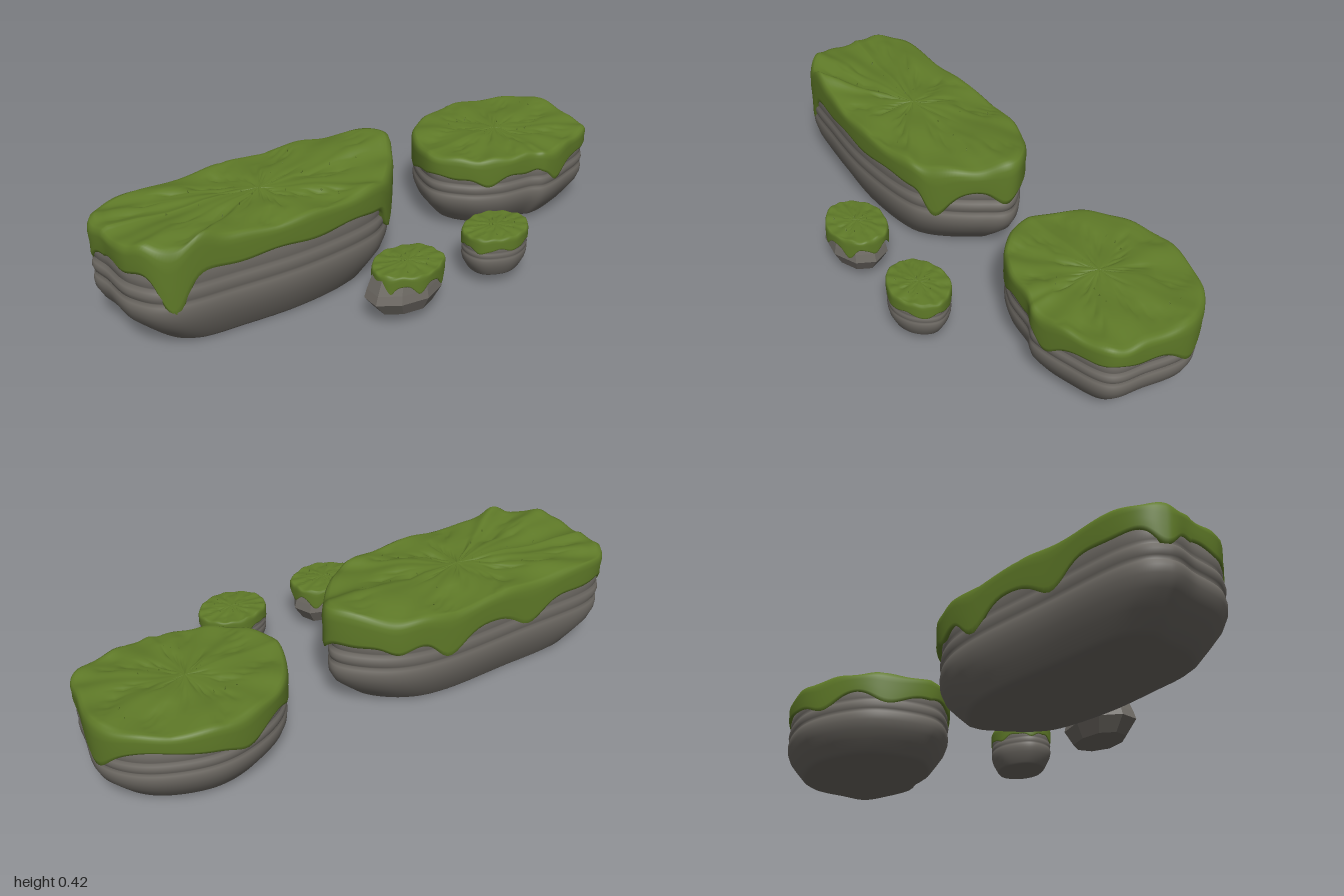
import * as THREE from 'three';

const stone = new THREE.MeshStandardMaterial({ color: 0x6e6a64 });
stone.name = 'grey stone';
const moss = new THREE.MeshStandardMaterial({ color: 0x5f7a28 });
moss.name = 'moss green';

// Joins closed rings of points (listed bottom to top) into one skin
function loft(rings, faceted = false) {
  const n = rings[0].length, index = [];
  for (let j = 0; j < rings.length - 1; j++) {
    for (let i = 0; i < n; i++) {
      const a = j * n + i, b = j * n + (i + 1) % n;
      index.push(a, b, b + n, a, b + n, a + n);
    }
  }
  let geo = new THREE.BufferGeometry().setFromPoints(rings.flat());
  geo.setIndex(index);
  if (faceted) geo = geo.toNonIndexed();
  geo.computeVertexNormals();
  return geo;
}

// Slightly wobbly oval outline, running from the left along the front
const oval = (cx, cz, rx, rz, n, wobble, turn = 0) => Array.from({ length: n }, (_, i) => {
  const a = turn + (i / n) * Math.PI * 2, k = 1 + wobble * Math.sin(i * 2.4);
  return [cx - rx * k * Math.cos(a), cz + rz * k * Math.sin(a)];
});

// Equal drips at every second point of an outline
const evenDrips = (n, depth) => Array.from({ length: n / 2 }, (_, i) => [2 * i + 1, depth * (1 - 0.3 * (i % 2)), 0.5]);

// Sum of soft bumps [place on outline, size, width] around a closed outline of n points
const bumpsAt = (u, bumps, n) => bumps.reduce((sum, [place, size, width]) => {
  const d = Math.abs(u - place), gap = Math.min(d, n - d) / width;
  return sum + size * Math.exp(-gap * gap);
}, 0);

// Points round the rock with the heights of the moss hem and rim there
function traceEdge(r) {
  const n = r.outline.length;
  const curve = new THREE.CatmullRomCurve3(r.outline.map(([x, z]) => new THREE.Vector3(x, 0, z)), true, 'catmullrom', 0.5);
  return Array.from({ length: r.segments }, (_, i) => {
    const t = i / r.segments, { x, z } = curve.getPoint(t);
    const ripple = 0.006 * Math.sin(t * 80) * (r.rim - r.base) / 0.4;
    return { x, z, hem: r.hem - bumpsAt(t * n, r.drips, n) + ripple, rim: r.rim + bumpsAt(t * n, r.humps, n) - ripple };
  });
}

// Stone profiles: [scale of outline, fraction of height]
const layered = [
  [0, 0], [0.5, 0], [0.74, 0.01], [0.79, 0.05], [0.87, 0.17], [0.945, 0.29], [0.98, 0.4], [0.985, 0.47],
  [0.978, 0.52], [0.96, 0.545], [0.975, 0.57], [0.985, 0.62], [0.978, 0.67], [0.955, 0.695],
  [0.968, 0.72], [0.972, 0.79], [0.955, 0.9], [0.9, 0.97], [0, 1],
];
const chunky = [[0, 0], [0.72, 0], [0.98, 0.38], [0.92, 0.6], [0.8, 0.95], [0, 1]];

function makeStone(r, edge) {
  const [cx, cz] = r.center, top = r.rim - 0.08 * (r.rim - r.base);
  const rings = (r.facets ? chunky : layered).map(([s, f]) => (r.facets || edge).map((p) => {
    const [x, z] = r.facets ? p : [p.x, p.z];
    return new THREE.Vector3(cx + r.shift + (x - cx) * s, r.base + f * (top - r.base), cz + (z - cz) * s);
  }));
  return new THREE.Mesh(loft(rings, Boolean(r.facets)), stone);
}

// Moss blanket: drooping hem, soft rim, and a top creased along lines from the middle
function makeMoss(r, edge) {
  const [cx, cz] = r.center;
  const side = [[0.93, 0.1], [0.975, 0.01], [0.993, 0], [1.002, 0.12], [1, 0.4], [1.005, 0.65], [1, 0.82], [0.985, 0.94]];
  const crown = [0.955, 0.91, 0.85, 0.77, 0.68, 0.58, 0.47, 0.36, 0.25, 0.14, 0.06, 0];
  const ring = (s, height) => edge.map((p) => {
    const x = cx + (p.x - cx) * s, z = cz + (p.z - cz) * s;
    return new THREE.Vector3(x, height(p, x, z), z);
  });
  const rings = side.map(([s, f]) => ring(s, (p) => p.hem + f * (p.rim - p.hem)));
  for (const s of crown) {
    rings.push(ring(s, (p, x, z) => {
      const a = Math.atan2(p.z - cz, p.x - cx), fade = Math.min(1, 4 * s * (1.05 - s));
      const crease = Math.pow(1 - Math.abs(Math.sin(3.5 * a + 0.9 * Math.sin(9 * s + 2 * a))), 4);
      const lumps = Math.sin(17 * x + 9 * z) * Math.sin(23 * z - 6 * x + 1);
      return r.mid + (p.rim - r.mid) * Math.pow(s, 1.6) + r.fold * fade * (0.5 * lumps - 0.8 * crease);
    }));
  }
  return new THREE.Mesh(loft(rings), moss);
}

// Tiny sprigs standing on the moss
function makeSprigs(r, edge) {
  const sprigs = new THREE.Group(), [cx, cz] = r.center;
  const blade = new THREE.ConeGeometry(0.003, 0.012, 4);
  for (let i = 0; i < r.segments / 12; i++) {
    const p = edge[(i * 37) % edge.length], s = 0.12 + 0.7 * ((i * 0.618) % 1);
    const mesh = new THREE.Mesh(blade, moss);
    mesh.name = 'sprig';
    mesh.position.set(cx + (p.x - cx) * s, r.mid + (p.rim - r.mid) * s ** 1.6 + 0.003, cz + (p.z - cz) * s);
    mesh.rotation.set(0.5 * Math.sin(i * 2.1), i, 0.5 * Math.cos(i * 3.3));
    sprigs.add(mesh);
  }
  return sprigs;
}

function makeRock(name, r) {
  const group = new THREE.Group(), edge = traceEdge(r);
  group.name = name;
  const parts = { stoneBody: makeStone(r, edge), mossCap: makeMoss(r, edge), mossSprigs: makeSprigs(r, edge) };
  for (const [partName, part] of Object.entries(parts)) {
    part.name = partName;
    group.add(part);
  }
  return group;
}

export function createModel() {
  const model = new THREE.Group();
  model.name = 'mossyRocks';

  model.add(makeRock('longRock', {
    center: [-0.43, -0.12], base: 0, hem: 0.29, rim: 0.38, mid: 0.385, shift: -0.012, fold: 0.016, segments: 220,
    outline: [
      [-0.97, -0.17], [-0.96, -0.03], [-0.87, 0.08], [-0.65, 0.115], [-0.4, 0.135], [-0.15, 0.115], [-0.02, 0.06],
      [0.1, -0.08], [0.14, -0.19], [0, -0.32], [-0.2, -0.37], [-0.55, -0.365], [-0.86, -0.355], [-0.97, -0.28],
    ],
    drips: [[2, 0.14, 0.3], [6, 0.11, 0.35], [7.6, 0.04, 0.4], [9.2, 0.04, 0.3], [10.1, 0.09, 0.25], [11.1, 0.08, 0.25], [13, 0.05, 0.5]],
    humps: [[1.4, 0.03, 0.3], [2.5, 0.05, 0.25], [8, 0.05, 0.8]],
  }));

  model.add(makeRock('roundRock', {
    center: [0.64, -0.13], base: 0.013, hem: 0.23, rim: 0.308, mid: 0.312, shift: 0, fold: 0.012, segments: 180,
    outline: [
      [0.29, -0.1], [0.36, 0.03], [0.47, 0.1], [0.6, 0.125], [0.67, 0.15], [0.8, 0.125], [0.94, 0.07],
      [0.97, -0.05], [0.985, -0.22], [0.88, -0.35], [0.68, -0.42], [0.5, -0.39], [0.36, -0.29],
    ],
    drips: [[1.6, 0.03, 0.4], [4.4, 0.06, 0.35], [6, -0.015, 0.4], [8, 0.065, 0.45], [9, -0.025, 0.4], [10.6, 0.05, 0.4], [12.2, 0.04, 0.4]],
    humps: [[4, -0.012, 0.4], [8, 0.018, 0.8]],
  }));

  model.add(makeRock('smallRock', {
    center: [0.258, 0.305], base: 0.042, hem: 0.157, rim: 0.197, mid: 0.202, shift: 0, fold: 0.005, segments: 96,
    outline: oval(0.258, 0.305, 0.126, 0.102, 12, 0.02), drips: evenDrips(12, 0.018), humps: [],
  }));

  model.add(makeRock('facetedRock', {
    center: [-0.135, 0.31], base: 0.045, hem: 0.165, rim: 0.197, mid: 0.202, shift: 0, fold: 0.005, segments: 96,
    outline: oval(-0.135, 0.31, 0.13, 0.104, 14, 0.03), drips: evenDrips(14, 0.045), humps: [],
    facets: oval(-0.152, 0.31, 0.15, 0.1, 9, 0.03, -0.35),
  }));
  return model;
}
